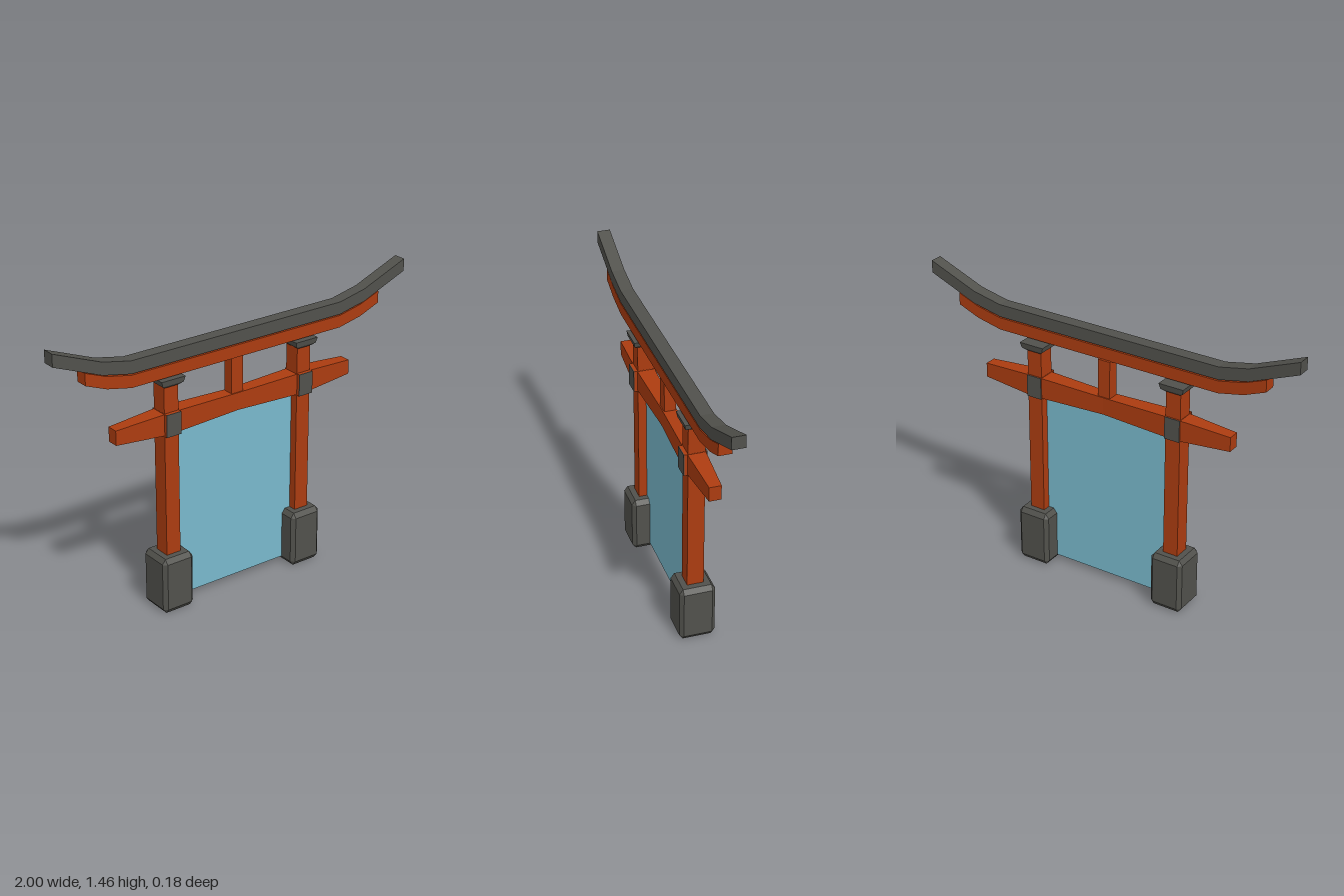
import * as THREE from 'three';
import { ConvexGeometry } from 'three/addons/geometries/ConvexGeometry.js';

const mat = (name, color, extra = {}) => {
  const m = new THREE.MeshStandardMaterial({ color, ...extra });
  m.name = name;
  return m;
};

export function createModel() {
  const red = mat('vermilion', 0xac3c10);
  const grey = mat('charcoal', 0x51514c);
  const blue = mat('paleBlue', 0x79b9cc, { side: THREE.DoubleSide });
  const model = new THREE.Group();

  const add = (name, geometry, material, x = 0, y = 0, z = 0, parent = model) => {
    const mesh = new THREE.Mesh(geometry, material);
    mesh.name = name;
    mesh.position.set(x, y, z);
    parent.add(mesh);
    return mesh;
  };

  // Mirrored upswept beam from the right half of its top edge and bottom edge
  const sweptBeam = (top, bottom) => {
    const half = [...bottom, ...[...top].reverse()];
    const outline = [...half, ...half.map(([x, y]) => [-x, y]).reverse()];
    const shape = new THREE.Shape(outline.map(([x, y]) => new THREE.Vector2(x, y)));
    return new THREE.ExtrudeGeometry(shape, { depth: 0.064, bevelEnabled: false });
  };

  // Box with every edge cut off
  const chamferedBox = (w, h, d, b, by) => {
    const points = [];
    for (const sx of [-1, 1]) for (const sy of [-1, 1]) for (const sz of [-1, 1]) {
      const x = w / 2, y = h / 2, z = d / 2;
      points.push(
        new THREE.Vector3(sx * x, sy * (y - by), sz * (z - b)),
        new THREE.Vector3(sx * (x - b), sy * y, sz * (z - b)),
        new THREE.Vector3(sx * (x - b), sy * (y - by), sz * z));
    }
    return new ConvexGeometry(points);
  };

  // Top beams
  add('roofBeam', sweptBeam(
    [[0.6, 1.328], [0.75, 1.36], [1, 1.46]],
    [[0.6, 1.265], [0.75, 1.297], [1, 1.398]]), grey, 0, 0, -0.016);
  add('upperLintel', sweptBeam(
    [[0.6, 1.259], [0.73, 1.287], [0.84, 1.33]],
    [[0.6, 1.198], [0.73, 1.226], [0.84, 1.27]]), red, 0, 0, -0.016);

  // Tie beam: thickest at the pillars, tapering to the tips and the middle
  const stations = [
    [-0.68, 0.93, 1.003, 0.029], [-0.425, 0.912, 1.018, 0.043], [-0.345, 0.912, 1.018, 0.043],
    [0, 0.922, 1.01, 0.033],
    [0.345, 0.912, 1.018, 0.043], [0.425, 0.912, 1.018, 0.043], [0.68, 0.93, 1.003, 0.029]];
  const tie = new THREE.BoxGeometry(1, 1, 1, stations.length - 1, 1, 1);
  const p = tie.attributes.position;
  for (let i = 0; i < p.count; i++) {
    const [x, low, high, z] = stations[Math.round((p.getX(i) + 0.5) * (stations.length - 1))];
    p.setXYZ(i, x, p.getY(i) < 0 ? low : high, Math.sign(p.getZ(i)) * z);
  }
  const tieFlat = tie.toNonIndexed();
  tieFlat.computeVertexNormals();
  add('tieBeam', tieFlat, red);

  // Short post between the tie beam and the lintel
  add('centrePost', new THREE.BoxGeometry(0.066, 0.2, 0.056), red, 0, 1.1, 0);

  for (const side of [-1, 1]) {
    const post = new THREE.Group();
    post.name = side > 0 ? 'leftPost' : 'rightPost';
    post.position.x = side * 0.385;
    model.add(post);

    add('footing', chamferedBox(0.172, 0.29, 0.176, 0.018, 0.024), grey, 0, 0.145, 0, post);
    add('pillar', new THREE.BoxGeometry(0.078, 0.89, 0.082), red, 0, 0.725, 0, post);

    // Capital: flared block with a straight rim
    const rings = [[0.04, 0.048, 1.15], [0.058, 0.06, 1.163], [0.065, 0.065, 1.19]];
    const corners = rings.flatMap(([x, z, y]) => [[x, z], [-x, z], [x, -z], [-x, -z]]
      .map(([a, b]) => new THREE.Vector3(a, y, b)));
    add('capital', new ConvexGeometry(corners), grey, 0, 0, 0, post);

    // Joint block with dark plates at front and back
    add('jointBlock', new THREE.BoxGeometry(0.08, 0.112, 0.104), red, 0, 0.964, 0.006, post);
    add('frontPlate', new THREE.BoxGeometry(0.08, 0.112, 0.004), grey, 0, 0.964, 0.06, post);
    add('backPlate', new THREE.BoxGeometry(0.08, 0.112, 0.004), grey, 0, 0.964, -0.048, post);
  }

  // Thin panel hung between the pillars
  const panel = new THREE.Shape([[-0.35, 0.025], [0.35, 0.025], [0.35, 0.915], [0, 0.925], [-0.35, 0.915]]
    .map(([x, y]) => new THREE.Vector2(x, y)));
  add('panel', new THREE.ShapeGeometry(panel), blue);

  return model;
}
